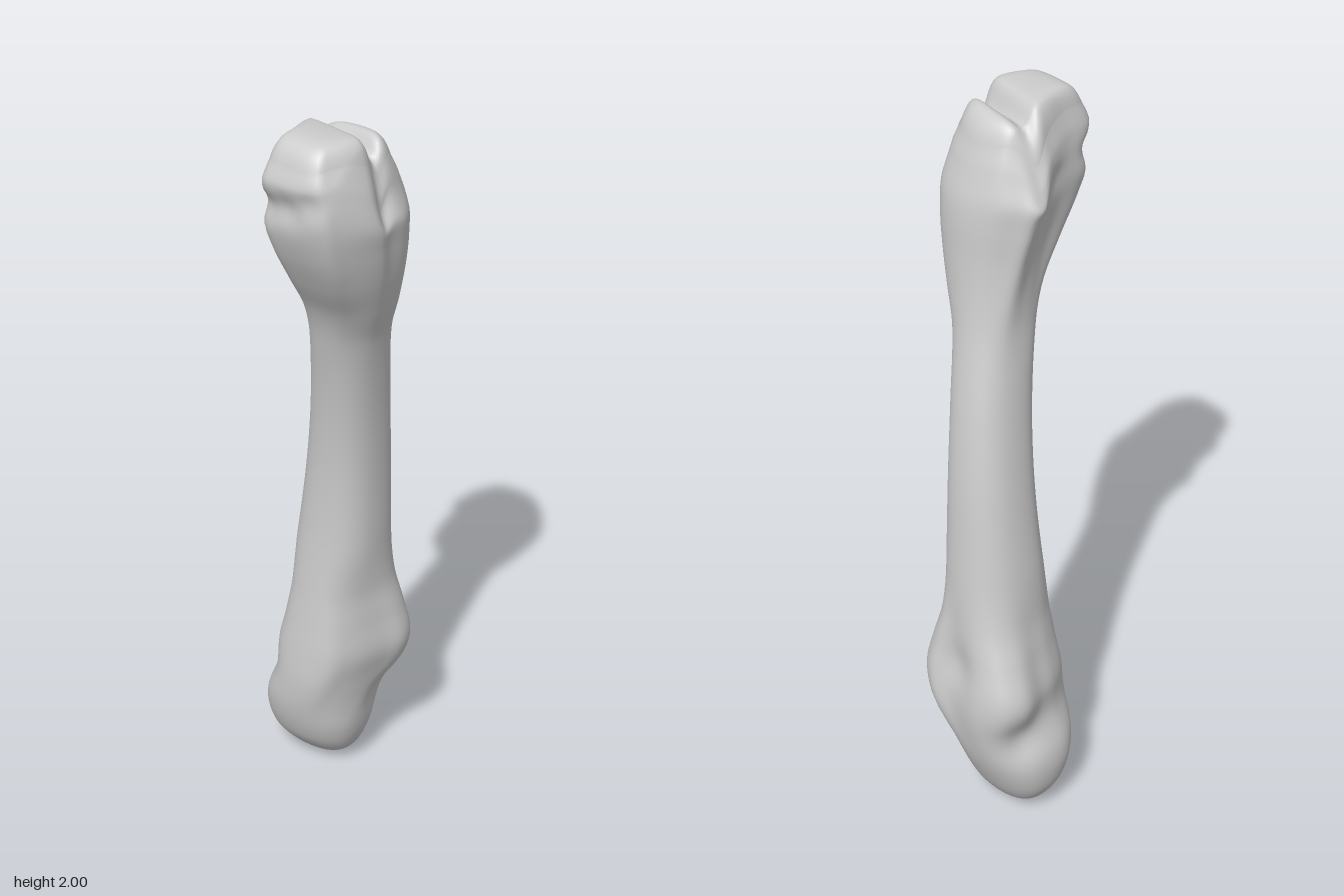
import * as THREE from 'three';

// Extents of the bone at each height: y, xMin, xMax, zMin, zMax
const EXTENTS = [
  [0, -0.125, -0.095, -0.11, -0.09], [0.012, -0.165, -0.04, -0.14, -0.06], [0.04, -0.205, 0.005, -0.17, -0.025],
  [0.1, -0.236, 0.035, -0.205, 0.02], [0.2, -0.245, 0.06, -0.245, 0.054], [0.3, -0.228, 0.095, -0.265, 0.065],
  [0.4, -0.232, 0.124, -0.265, 0.06], [0.5, -0.197, 0.11, -0.25, 0.05], [0.6, -0.162, 0.092, -0.235, 0.04],
  [0.8, -0.13, 0.094, -0.215, 0.025], [1.0, -0.1, 0.1, -0.195, 0.025], [1.2, -0.07, 0.115, -0.165, 0.045],
  [1.4, -0.045, 0.145, -0.125, 0.085], [1.5, -0.045, 0.18, -0.112, 0.12], [1.6, -0.055, 0.21, -0.105, 0.18],
  [1.7, -0.075, 0.23, -0.1, 0.23], [1.8, -0.093, 0.24, -0.088, 0.26], [1.9, -0.075, 0.222, -0.065, 0.27],
  [1.95, -0.05, 0.2, -0.045, 0.25],
];

// Cross-section outlines in a -1..1 box, from -x round by the back
const ROUND = Array.from({ length: 14 }, (_, i) => {
  const a = Math.PI + 0.4 + (i * Math.PI) / 7;
  const p = (v) => Math.sign(v) * Math.abs(v) ** 0.85;
  return [p(Math.cos(a)), p(Math.sin(a))];
});
const HEAD = [[-0.97, -0.48], [-0.8, -0.85], [-0.36, -1], [0.3, -0.9], [0.64, -0.96], [0.92, -0.73], [1, -0.42],
  [0.89, -0.05], [0.7, 0.55], [0.47, 0.9], [0, 1], [-0.47, 0.87], [-0.75, 0.4], [-0.84, 0]];
const BASE = [[-1, -0.49], [-0.76, -0.71], [-0.45, -0.9], [0.15, -1], [0.7, -0.84], [0.97, -0.44], [0.97, -0.07],
  [1, 0.2], [0.76, 0.73], [0.58, 0.97], [-0.15, 1], [-0.58, 0.9], [-0.67, 0.36], [-0.82, -0.07]];

// Hollows and swellings: x, y, z, radius, depth (negative swells)
const DENTS = [
  [-0.22, 0.27, -0.19, 0.07, 0.03], [0.09, 0.23, -0.16, 0.07, 0.025], [-0.03, 0.46, -0.25, 0.07, 0.015],
  [-0.01, 1.83, 0.25, 0.045, 0.025], [0.07, 1.84, 0.27, 0.045, 0.02], [0.14, 1.87, 0.27, 0.04, 0.015],
  [-0.06, 1.8, 0.1, 0.06, 0.015], [0.24, 1.88, 0.05, 0.05, 0.015],
];

const SEG = 72, ROWS = 150, CAP = 24;
const smooth = THREE.MathUtils.smoothstep;

// Smooth interpolation of the extents
function extentsAt(y) {
  const n = EXTENTS.length;
  let i = 0;
  while (i < n - 2 && EXTENTS[i + 1][0] < y) i++;
  const slope = (k, c) => {
    const a = EXTENTS[Math.max(k - 1, 0)], b = EXTENTS[Math.min(k + 1, n - 1)];
    return (b[c] - a[c]) / (b[0] - a[0]);
  };
  const a = EXTENTS[i], b = EXTENTS[i + 1], h = b[0] - a[0], t = (y - a[0]) / h;
  return [1, 2, 3, 4].map((c) =>
    a[c] * (1 + 2 * t) * (1 - t) ** 2 + slope(i, c) * h * t * (1 - t) ** 2 +
    b[c] * t * t * (3 - 2 * t) + slope(i + 1, c) * h * t * t * (t - 1));
}

// Outline of one level, blended between the three section shapes
function ringAt(y) {
  const head = smooth(y, 0.14, 0.36) * (1 - smooth(y, 0.42, 0.75));
  const base = smooth(y, 1.3, 1.7);
  const pts = ROUND.map((r, i) => new THREE.Vector3(
    r[0] + (HEAD[i][0] - r[0]) * head + (BASE[i][0] - r[0]) * base, 0,
    r[1] + (HEAD[i][1] - r[1]) * head + (BASE[i][1] - r[1]) * base));
  const curve = new THREE.CatmullRomCurve3(pts, true, 'centripetal');
  const [x0, x1, z0, z1] = extentsAt(y);
  const cx = (x0 + x1) / 2, cz = (z0 + z1) / 2;
  return Array.from({ length: SEG }, (_, i) => {
    const p = curve.getPoint(i / SEG);
    p.set(cx + (p.x * (x1 - x0)) / 2, y, cz + (p.z * (z1 - z0)) / 2);
    const out = new THREE.Vector3(p.x - cx, 0, p.z - cz).normalize();
    for (const [dx, dy, dz, r, depth] of DENTS) {
      const d2 = (p.x - dx) ** 2 + (p.y - dy) ** 2 + (p.z - dz) ** 2;
      p.addScaledVector(out, -depth * Math.exp(-d2 / (r * r)));
    }
    return p;
  });
}

// Height of the joint surface on top, with its notch between two lobes
function topHeight(x, z) {
  const notch = 0.06 * Math.exp(-(((z - 0.055 - 0.2 * (x - 0.1)) / 0.025) ** 2)) * (0.6 + 0.4 * smooth(x, 0, 0.18));
  return 2 - 1.2 * (z - 0.16) ** 2 - notch - 0.7 * Math.max(0, -x) - 1.2 * Math.max(0, x - 0.19);
}

export function createModel() {
  const rings = [];
  // Sides, with the upper rows following the uneven rim
  const LOW = 1.7, HIGH = 1.95, LIP = 0.05;
  for (let r = 0; r <= ROWS; r++) {
    const y = (HIGH * (1 - Math.cos((Math.PI * r) / ROWS))) / 2;
    const ring = ringAt(y);
    const k = smooth(y, LOW, HIGH);
    for (const p of ring) p.y += k * (topHeight(p.x, p.z) - LIP - HIGH);
    rings.push(ring);
  }
  // Top surface, rounded over at the rim
  const rim = rings[ROWS];
  const centre = rim.reduce((s, p) => s.add(p), new THREE.Vector3()).divideScalar(SEG);
  for (let c = 1; c <= CAP; c++) {
    const s = 1 - (c / CAP) ** 1.5;
    rings.push(rim.map((p) => {
      const x = centre.x + (p.x - centre.x) * s, z = centre.z + (p.z - centre.z) * s;
      return new THREE.Vector3(x, topHeight(x, z) - LIP * s ** 8, z);
    }));
  }

  // Closed bottom, then the skin between neighbouring rings
  rings.unshift(rings[0].map(() => new THREE.Vector3(-0.11, 0, -0.1)));
  const index = [];
  for (let r = 0; r < rings.length - 1; r++) {
    for (let i = 0; i < SEG; i++) {
      const j = (i + 1) % SEG;
      const a = r * SEG + i, b = r * SEG + j, c = a + SEG, d = b + SEG;
      index.push(a, c, b, b, c, d);
    }
  }
  const geometry = new THREE.BufferGeometry().setFromPoints(rings.flat());
  geometry.setIndex(index);
  geometry.computeVertexNormals();

  const bone = new THREE.Mesh(geometry, new THREE.MeshStandardMaterial({ color: 0xcccccc }));
  bone.name = 'footBone';
  const group = new THREE.Group();
  group.name = 'bone';
  group.add(bone);
  return group;
}
